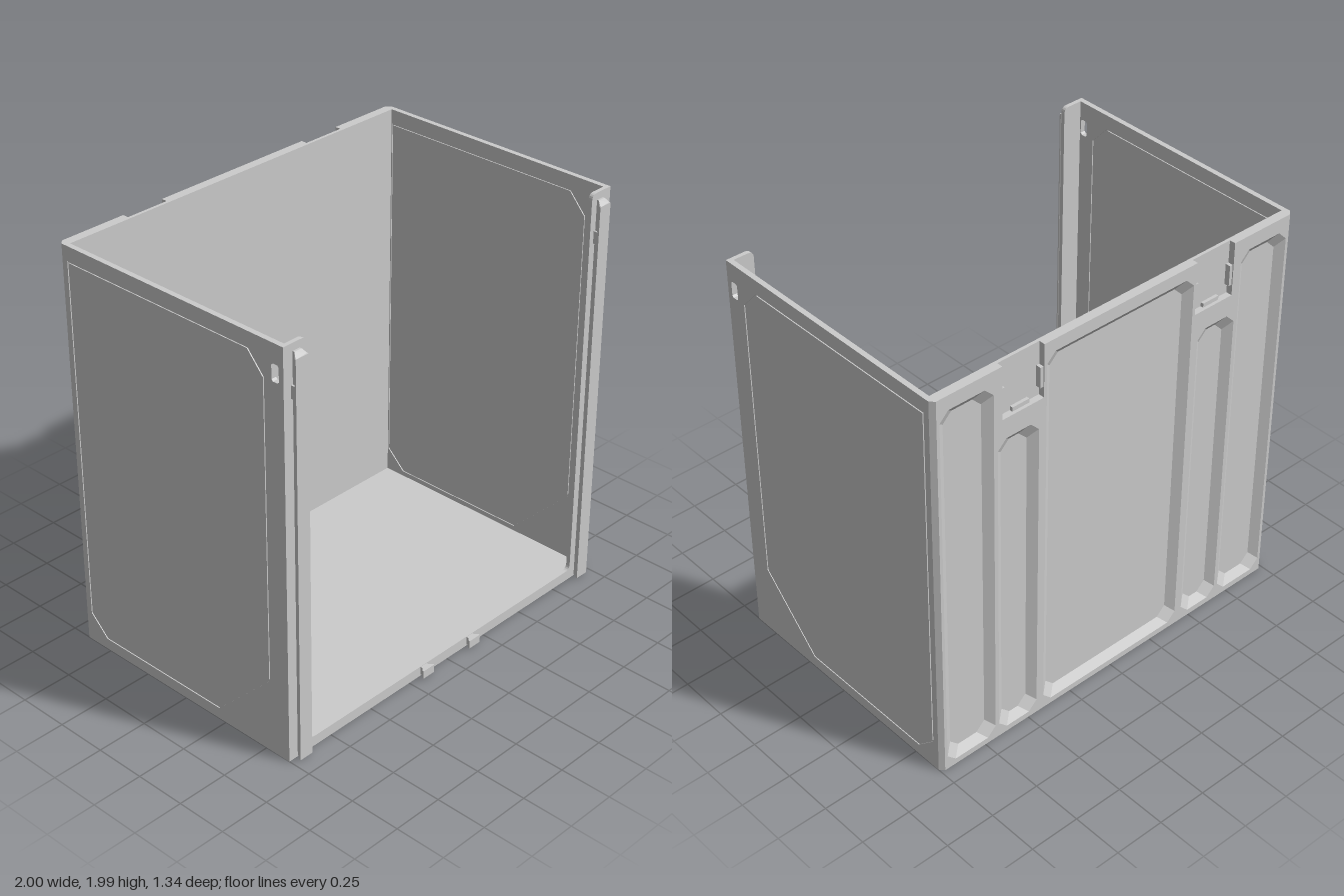
import * as THREE from 'three';

const H = 1.99, BACK = -0.67, FRONT = 0.635;
const mat = new THREE.MeshStandardMaterial({ color: 0xcccccc, flatShading: true, side: THREE.DoubleSide });

const polygon = (pts) => new THREE.Shape(pts.map(([x, y]) => new THREE.Vector2(x, y)));
const extrude = (shape, depth) => new THREE.ExtrudeGeometry(shape, { depth, bevelEnabled: false, curveSegments: 5 });

function add(parent, name, geometry, x = 0, y = 0, z = 0) {
  const mesh = new THREE.Mesh(geometry, mat);
  mesh.name = name;
  mesh.position.set(x, y, z);
  parent.add(mesh);
  return mesh;
}

function box(parent, name, x0, x1, y0, y1, z0, z1) {
  const g = new THREE.BoxGeometry(x1 - x0, y1 - y0, z1 - z0);
  return add(parent, name, g, (x0 + x1) / 2, (y0 + y1) / 2, (z0 + z1) / 2);
}

// Rectangle with cut corners, inset by i
function cutRect(x0, x1, y0, y1, c, i = 0) {
  x0 += i; x1 -= i; y0 += i; y1 -= i;
  return [[x0 + c, y0], [x1 - c, y0], [x1, y0 + c], [x1, y1 - c],
    [x1 - c, y1], [x0 + c, y1], [x0, y1 - c], [x0, y0 + c]];
}

// Sloping band between two loops at different depths
function band(a, za, b, zb) {
  const v = [];
  a.forEach((p, i) => {
    const j = (i + 1) % a.length;
    const A = [...p, za], B = [...a[j], za], C = [...b[j], zb], D = [...b[i], zb];
    v.push(...A, ...B, ...C, ...A, ...C, ...D);
  });
  const g = new THREE.BufferGeometry();
  g.setAttribute('position', new THREE.Float32BufferAttribute(v, 3));
  g.computeVertexNormals();
  return g;
}

// Plan outline (x, z) raised along y
function upright(pts, height) {
  return extrude(polygon(pts.map(([x, z]) => [x, -z])), height).rotateX(-Math.PI / 2);
}

// Side wall: core between two thin skins, each with an engraved panel line
function sideWall(s) {
  const wall = new THREE.Group();
  wall.name = s > 0 ? 'leftWall' : 'rightWall';
  const panel = (i) => polygon([
    [0.53 - i, 1.82 - i * 0.4], [0.44 - i * 0.4, 1.92 - i], [-0.62 + i, 1.92 - i], [-0.62 + i, 0.15 + i * 0.4],
    [-0.52 + i * 0.4, 0.055 + i], [0.21 - i * 0.4, 0.055 + i], [0.53 - i, 0.37 + i * 0.4],
  ]);
  const frame = (withPanel) => {
    const shape = polygon([[-0.65, 0], [FRONT, 0], [FRONT, H], [-0.65, H]]);
    const slot = polygon(cutRect(0.57, 0.61, 1.82, 1.9, 0.008));
    shape.holes.push(slot);
    if (withPanel) shape.holes.push(panel(0));
    return shape;
  };
  const slab = (name, shape, x0, x1) => {
    const lo = s > 0 ? x1 : -x0;
    add(wall, name, extrude(shape, x1 - x0).rotateY(-Math.PI / 2), lo);
  };
  slab('wallCore', frame(false), 0.98, 0.995);
  for (const [x0, x1] of [[0.975, 0.98], [0.995, 1]]) {
    slab('wallFrame', frame(true), x0, x1);
    slab('wallPanel', panel(0.007), x0, x1);
  }
  return wall;
}

// Back wall with tapered pockets and two open latch notches
function backWall() {
  const wall = new THREE.Group();
  wall.name = 'backWall';
  const floorZ = -0.64;
  box(wall, 'backPlate', -0.98, 0.98, 0, H, floorZ, -0.625);

  const ribs = polygon([
    [-0.98, 0], [0.98, 0], [0.98, H], [0.645, H], [0.645, 1.73], [0.425, 1.73], [0.425, H],
    [-0.425, H], [-0.425, 1.73], [-0.645, 1.73], [-0.645, H], [-0.98, H],
  ]);
  const pockets = [[-0.41, 0.41, 0.03, 1.93]];
  for (const s of [-1, 1]) {
    for (const [a, b, y1] of [[0.45, 0.67, 1.63], [0.69, 0.965, 1.92]]) {
      pockets.push([Math.min(s * a, s * b), Math.max(s * a, s * b), 0.03, y1]);
    }
  }
  for (const p of pockets) {
    const rim = cutRect(...p, 0.045);
    ribs.holes.push(polygon(rim));
    add(wall, 'pocketSlope', band(rim, BACK, cutRect(...p, 0.045, 0.04), floorZ));
  }
  add(wall, 'backRibs', extrude(ribs, floorZ - BACK), 0, 0, BACK);

  for (const s of [-1, 1]) {
    // Bevelled vertical edges
    add(wall, 'edgeBevel', upright([[s * 0.975, BACK + 0.02], [s * 0.98, BACK], [s, BACK + 0.02]], H));
    // Latch socket details
    const c = s * 0.535;
    box(wall, 'latchStop', c - 0.045, c + 0.045, 1.73, 1.75, -0.655, floorZ);
    for (const t of [-1, 1]) {
      const e = c + t * 0.102;
      box(wall, 'latchGuide', e - 0.008, e + 0.008, 1.78, 1.88, -0.665, floorZ);
    }
  }
  return wall;
}

// U-shaped lip round the open front
function frontLip() {
  const r = 0.03, xi = 0.875, yi = 0.05;
  const s = new THREE.Shape();
  s.moveTo(-1, 0);
  s.lineTo(1, 0);
  s.lineTo(1, H);
  s.lineTo(xi + r, H);
  s.quadraticCurveTo(xi, H, xi, H - r);
  s.lineTo(xi, yi + r);
  s.quadraticCurveTo(xi, yi, xi - r, yi);
  s.lineTo(-xi + r, yi);
  s.quadraticCurveTo(-xi, yi, -xi, yi + r);
  s.lineTo(-xi, H - r);
  s.quadraticCurveTo(-xi, H, -xi - r, H);
  s.lineTo(-1, H);
  return extrude(s, 0.02);
}

// Dovetail key, wide at its front
function dovetail(height) {
  return upright([[-0.02, 0], [0.02, 0], [0.02, 0.01], [0.035, 0.025], [0.035, 0.032],
    [-0.035, 0.032], [-0.035, 0.025], [-0.02, 0.01]], height);
}

export function createModel() {
  const model = new THREE.Group();
  model.name = 'openBin';
  model.add(backWall(), sideWall(1), sideWall(-1));
  box(model, 'floor', -0.98, 0.98, 0, 0.03, -0.64, 0.62);
  add(model, 'frontLip', frontLip(), 0, 0, FRONT - 0.02);

  for (const s of [-1, 1]) {
    const rail = add(model, 'frontRail', dovetail(1.95), s * 0.93, 0.005, FRONT);
    // Sloped lead-in at the top of the rail
    const p = rail.geometry.attributes.position;
    for (let i = 0; i < p.count; i++) {
      if (p.getY(i) > 1.9 && p.getZ(i) > 0.02) p.setY(i, 1.93);
    }
    rail.geometry.computeVertexNormals();
    box(model, 'railCatch', s * 0.93 - 0.03, s * 0.93 + 0.03, 1.75, 1.81, FRONT, FRONT + 0.025);
    add(model, 'lowerKey', dovetail(0.04), s * 0.155, 0.008, FRONT);
  }
  return model;
}
